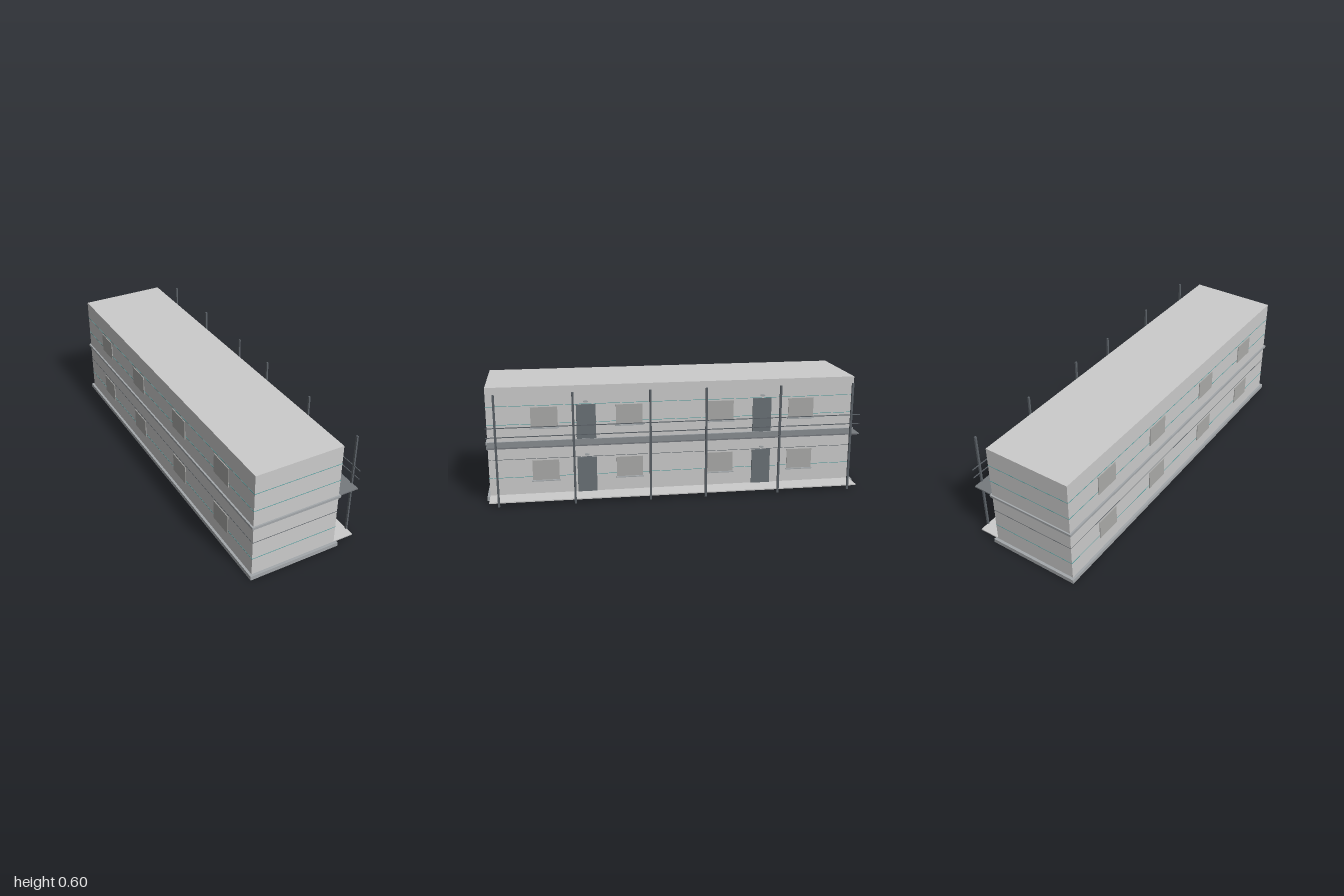
import * as THREE from 'three';

const mat = (color) => new THREE.MeshStandardMaterial({ color });

export function createModel() {
  const model = new THREE.Group();
  const wall = mat(0xcccccc), trim = mat(0xa4a8ab), steel = mat(0x5a6066);
  const deck = mat(0x767a7e), door = mat(0x697176), pane = mat(0xaaaaa8), teal = mat(0x4f9c9c);

  // Box given by its limits on each axis
  function box(name, material, [x0, x1], [y0, y1], [z0, z1]) {
    const mesh = new THREE.Mesh(new THREE.BoxGeometry(x1 - x0, y1 - y0, z1 - z0), material);
    mesh.position.set((x0 + x1) / 2, (y0 + y1) / 2, (z0 + z1) / 2);
    mesh.name = name;
    model.add(mesh);
    return mesh;
  }
  const around = (c, size) => [c - size / 2, c + size / 2];

  // Main block, plinth and floor band
  box('building', wall, [-0.29, 0.185], [0.022, 0.604], [-0.985, 0.985]);
  box('plinth', trim, [-0.303, 0.199], [0, 0.022], [-1, 1]);
  box('floorBand', trim, [-0.299, 0.194], [0.304, 0.317], [-0.993, 0.993]);

  // Thin joint lines around the facade
  for (const y of [0.119, 0.218, 0.406, 0.504]) {
    box('jointLine', y === 0.218 ? steel : teal, [-0.2915, 0.1865], around(y, 0.002), [-0.9865, 0.9865]);
  }

  // Walkways on the left side
  box('groundWalkway', wall, [0.185, 0.298], [0.019, 0.025], [-0.985, 0.985]);
  box('upperWalkway', deck, [0.185, 0.298], [0.309, 0.316], [-0.985, 0.985]);

  // Posts and railings
  for (const z of [-0.936, -0.543, -0.147, 0.147, 0.543, 0.936]) {
    box('post', steel, [0.293, 0.302], [0, 0.592], around(z, 0.011));
  }
  for (const y of [0.37, 0.419]) {
    box('rail', steel, around(0.2975, 0.004), around(y, 0.004), [-0.985, 0.985]);
  }

  // Openings, repeated on both storeys
  for (const y of [0, 0.287]) {
    for (const z of [-0.69, -0.246, 0.246, 0.69]) {
      box('walkwayWindow', pane, [0.18, 0.189], [y + 0.1, y + 0.208], around(z, 0.14));
      box('windowSill', trim, [0.18, 0.197], [y + 0.094, y + 0.099], around(z, 0.15));
      box('backWindow', pane, [-0.294, -0.285], [y + 0.1, y + 0.207], around(z, 0.14));
    }
    for (const z of [-0.473, 0.473]) {
      box('door', door, [0.18, 0.191], [y + 0.003, y + 0.215], around(z, 0.102));
      // Oval lamp above the door
      const lamp = new THREE.Mesh(new THREE.CylinderGeometry(1, 1, 0.012, 20), trim);
      lamp.geometry.rotateZ(Math.PI / 2).scale(1, 0.0055, 0.012);
      lamp.position.set(0.196, y + 0.232, z);
      lamp.name = 'doorLamp';
      model.add(lamp);
    }
  }
  return model;
}
